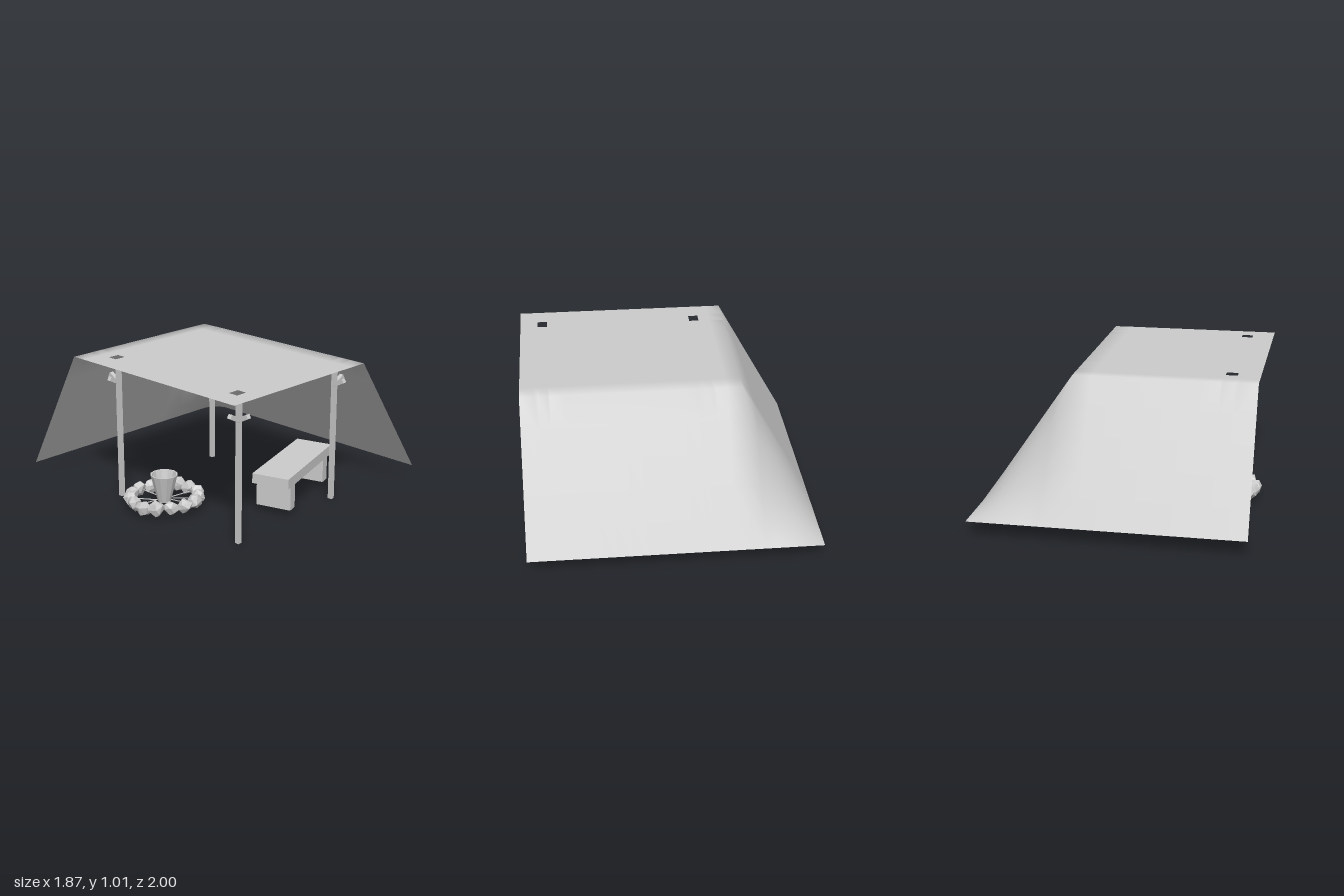
import * as THREE from 'three';
import { ConvexGeometry } from 'three/addons/geometries/ConvexGeometry.js';

const grey = new THREE.MeshStandardMaterial({ color: 0xcccccc });
const greyFlat = new THREE.MeshStandardMaterial({ color: 0xcccccc, flatShading: true });
const greyDouble = new THREE.MeshStandardMaterial({ color: 0xcccccc, side: THREE.DoubleSide });

function add(parent, name, geometry, material, x = 0, y = 0, z = 0) {
  const mesh = new THREE.Mesh(geometry, material);
  mesh.name = name;
  mesh.position.set(x, y, z);
  parent.add(mesh);
  return mesh;
}

function seeded(seed) {
  return () => {
    seed = (seed * 16807) % 2147483647;
    return seed / 2147483647;
  };
}

// Cloth sheet: flat roof falling away at the left and the back, with two post holes
function createCanopy() {
  const holesX = [-0.775, -0.695];
  const holesZ = [[-0.32, -0.25], [0.805, 0.875]];
  const xs = [...holesX], zs = [...holesZ.flat()];
  for (let i = 0; i <= 15; i++) xs.push(-0.93 + (1.865 * i) / 15);
  for (let j = 0; j <= 20; j++) zs.push(-1 + j / 10);
  xs.sort((a, b) => a - b);
  zs.sort((a, b) => a - b);

  const fall = (t) => 1 - THREE.MathUtils.clamp(t, 0, 1);
  const positions = [], index = [];
  for (const z of zs) {
    for (const x of xs) {
      positions.push(x, 0.11 + 0.9 * fall((x - 0.313) / 0.622) * fall((-0.5 - z) / 0.5), z);
    }
  }
  const n = xs.length;
  for (let j = 0; j < zs.length - 1; j++) {
    for (let i = 0; i < n - 1; i++) {
      const cx = (xs[i] + xs[i + 1]) / 2, cz = (zs[j] + zs[j + 1]) / 2;
      const inHole = cx > holesX[0] && cx < holesX[1] && holesZ.some(([a, b]) => cz > a && cz < b);
      if (inHole) continue;
      const a = j * n + i, b = a + 1, c = a + n, d = c + 1;
      index.push(a, c, b, b, c, d);
    }
  }
  const geometry = new THREE.BufferGeometry();
  geometry.setAttribute('position', new THREE.Float32BufferAttribute(positions, 3));
  geometry.setIndex(index);
  geometry.computeVertexNormals();
  return geometry;
}

// Square post with two short arms that rise outwards
function createPost(x, z, sx, sz) {
  const post = new THREE.Group();
  post.name = 'post';
  post.position.set(x, 0, z);
  add(post, 'postShaft', new THREE.BoxGeometry(0.03, 0.95, 0.03), grey, 0, 0.475, 0);
  const sideArm = add(post, 'postArm', new THREE.BoxGeometry(0.085, 0.03, 0.03), grey, sx * 0.045, 0.855, 0);
  sideArm.rotation.z = sx * 0.5;
  const endArm = add(post, 'postArm', new THREE.BoxGeometry(0.03, 0.03, 0.085), grey, 0, 0.855, sz * 0.045);
  endArm.rotation.x = -sz * 0.5;
  return post;
}

function createBench() {
  const bench = new THREE.Group();
  bench.name = 'bench';
  bench.position.set(0.0925, 0, 0.588);
  bench.rotation.y = 0.306;
  add(bench, 'benchSeat', new THREE.BoxGeometry(0.76, 0.07, 0.265), grey, 0, 0.25, 0);
  for (const s of [-1, 1]) {
    add(bench, 'benchLeg', new THREE.BoxGeometry(0.075, 0.175, 0.25), grey, s * 0.286, 0.1275, 0);
  }
  return bench;
}

// Faceted stone: hull of jittered points on an ellipsoid
function createStone(random) {
  const points = [];
  const count = 16;
  for (let i = 0; i < count; i++) {
    const y = 1 - (2 * (i + 0.5)) / count;
    const r = Math.sqrt(1 - y * y), a = i * 2.4 + random();
    const k = 0.9 + 0.25 * random();
    points.push(new THREE.Vector3(0.048 * k * r * Math.cos(a), 0.052 * k * y, 0.056 * k * r * Math.sin(a)));
  }
  return new ConvexGeometry(points);
}

function createFirePit() {
  const pit = new THREE.Group();
  pit.name = 'firePit';
  pit.position.set(-0.648, 0, 0.07);
  const random = seeded(71);

  // Ring of stones
  const stones = 15;
  for (let i = 0; i < stones; i++) {
    const a = (i / stones) * Math.PI * 2;
    const r = 0.225 + 0.02 * random();
    const stone = add(pit, 'stone', createStone(random), greyFlat,
      r * Math.cos(a), 0.068 + 0.014 * random(), r * 0.95 * Math.sin(a));
    stone.rotation.set(0.5 * random(), -a, 0.6 * (random() - 0.5));
  }

  // Thin sticks pointing to the middle
  for (let i = 0; i < 10; i++) {
    const a = (i / 10) * Math.PI * 2 + 0.3 * random();
    const stick = new THREE.Group();
    stick.name = 'firewood';
    stick.rotation.y = -a;
    const rod = add(stick, 'stick', new THREE.CylinderGeometry(0.004, 0.004, 0.15, 5), grey,
      0.13, 0.05 + 0.02 * random(), 0);
    rod.rotation.z = Math.PI / 2 + 0.2 * (random() - 0.5);
    pit.add(stick);
  }

  // Open tapered bucket
  const profile = [[0, 0.05], [0.045, 0.05], [0.095, 0.245], [0.085, 0.245], [0.06, 0.14], [0, 0.14]]
    .map(([r, y]) => new THREE.Vector2(r, y));
  add(pit, 'bucket', new THREE.LatheGeometry(profile, 12),
    new THREE.MeshStandardMaterial({ color: 0xcccccc, flatShading: true, side: THREE.DoubleSide }),
    -0.017, 0, 0.018);
  return pit;
}

export function createModel() {
  const model = new THREE.Group();
  model.name = 'campShelter';
  add(model, 'canopy', createCanopy(), greyDouble);
  model.add(
    createPost(-0.727, 0.845, -1, 1),
    createPost(-0.727, -0.282, -1, -1),
    createPost(0.257, 0.8, 1, 1),
    createPost(0.257, -0.367, 1, -1),
    createBench(),
    createFirePit(),
  );
  return model;
}
